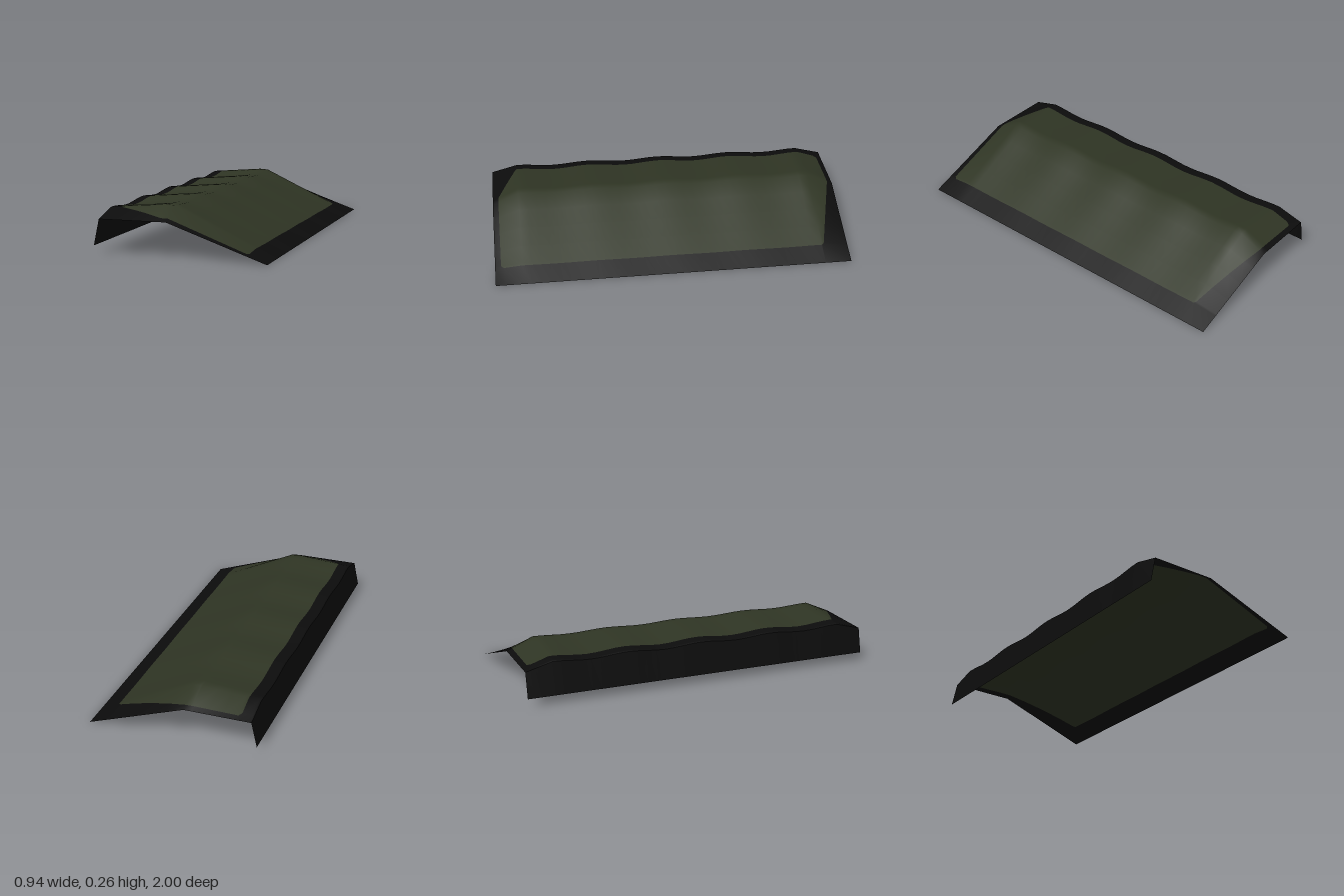
import * as THREE from 'three';

const { lerp, clamp } = THREE.MathUtils;

// Piecewise linear lookup through [input, output] pairs
function along(points, t) {
  for (let i = 1; i < points.length; i++) {
    const [a, b] = [points[i - 1], points[i]];
    if (t <= b[0]) return lerp(a[1], b[1], clamp((t - a[0]) / (b[0] - a[0]), 0, 1));
  }
  return points[points.length - 1][1];
}

// Height across x at the two ends, and over the raised middle
const endProfile = [[-0.47, 0.05], [-0.44, 0.19], [-0.07, 0.19], [0.47, 0]];
const ridgeProfile = [[-0.47, 0.05], [-0.44, 0.23], [-0.43, 0.236], [-0.12, 0.261], [-0.07, 0.257], [0.47, 0]];
// Limits in z of the green panel at each x
const panelBack = [[-0.375, -0.95], [-0.36, -0.97], [-0.07, -0.97], [0.35, -0.864], [0.363, -0.853]];
const panelFront = [[-0.375, 0.853], [-0.36, 0.864], [-0.11, 0.967], [0.35, 0.967], [0.363, 0.95]];

const FLAT = 0.85; // the ends slope down beyond this z

function height(x, z) {
  const rise = Math.min(1, (1 - Math.abs(z)) / (1 - FLAT));
  const wave = (1 - Math.cos((z / FLAT) * Math.PI * 4)) / 2;
  const sag = Math.abs(z) < FLAT ? wave * along([[-0.44, 0.35], [-0.07, 0.14]], x) : 0;
  return lerp(along(endProfile, x), along(ridgeProfile, x), rise * (1 - sag));
}

// Sheet over the given x columns; rows follow the panel outline
function sheet(columns) {
  const waves = Array.from({ length: 33 }, (_, i) => lerp(-FLAT, FLAT, i / 32));
  const positions = [];
  for (const x of columns) {
    const rows = [-1, along(panelBack, x), ...waves, along(panelFront, x), 1];
    for (const z of rows) positions.push(x, height(x, z), z);
  }
  const n = waves.length + 4;
  const green = [], black = [];
  for (let i = 0; i < columns.length - 1; i++) {
    for (let j = 0; j < n - 1; j++) {
      const inside = columns[i] >= -0.375 && columns[i + 1] <= 0.363 && j > 0 && j < n - 2;
      const a = i * n + j, b = a + 1, c = a + n, d = c + 1;
      (inside ? green : black).push(a, b, c, b, d, c);
    }
  }
  const geometry = new THREE.BufferGeometry();
  geometry.setAttribute('position', new THREE.Float32BufferAttribute(positions, 3));
  geometry.setIndex([...green, ...black]);
  geometry.addGroup(0, green.length, 0);
  geometry.addGroup(green.length, black.length, 1);
  geometry.computeVertexNormals();
  return geometry;
}

export function createModel() {
  const group = new THREE.Group();
  group.name = 'foldedCover';

  const panelGreen = new THREE.MeshStandardMaterial({ color: 0x2f3524, side: THREE.DoubleSide });
  panelGreen.name = 'panelGreen';
  const borderBlack = new THREE.MeshStandardMaterial({ color: 0x0c0c0c, side: THREE.DoubleSide });
  borderBlack.name = 'borderBlack';

  // Top sheet: green panel inside a black border
  const columns = [-0.44, -0.43, -0.375, -0.36, -0.28, -0.2, -0.12, -0.11, -0.07, 0.03, 0.14, 0.25, 0.35, 0.363, 0.47];
  const top = new THREE.Mesh(sheet(columns), [panelGreen, borderBlack]);
  top.name = 'topSheet';

  // Steep black flap along the side, folded sharply from the top
  const flap = new THREE.Mesh(sheet([-0.47, -0.44]), borderBlack);
  flap.name = 'sideFlap';

  group.add(top, flap);
  return group;
}
